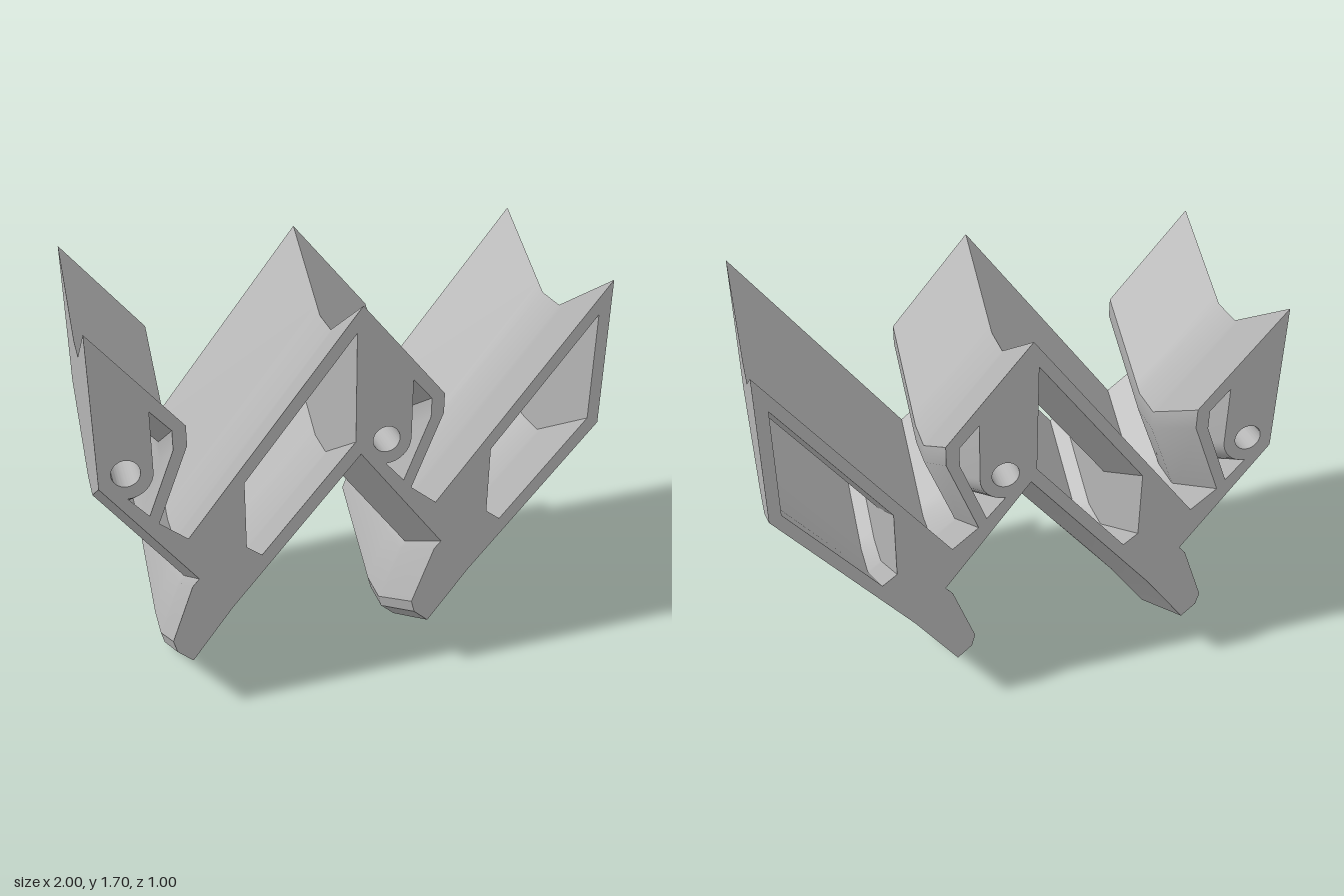
import * as THREE from 'three';
import { toCreasedNormals } from 'three/addons/utils/BufferGeometryUtils.js';

const UNITS = [0, 1];            // two repeats, one unit apart in x
const DROP = 0.255;              // how far the middle sags below the end faces
const SECTIONS = [-0.5, -0.13, -0.08, 0.08, 0.13, 0.5];
const BORE = { x: -0.898, y: 1.143, r: 0.054 };

// Edges of one unit, seen on the end face
const lower = [[-1, 1.093], [-0.652, 0.64], [-0.68, 0.608], [-0.77, 0.364], [-0.756, 0.31], [-0.695, 0.255], [-0.524, 0.482]];
const upper = [[0, 1.697], [-0.684, 0.829], [-0.79, 0.914], [-0.668, 1.225], [-0.668, 1.307]];

const shifted = (points, dx) => points.map(([x, y]) => new THREE.Vector2(x + dx, y));

function makeProfile() {
  const outline = [];
  for (const u of UNITS) outline.push(...shifted(lower, u));
  outline.push(new THREE.Vector2(1, 1.093));
  for (const u of [...UNITS].reverse()) outline.push(...shifted(upper, u));
  outline.push(new THREE.Vector2(-1, 1.697));
  const shape = new THREE.Shape(outline);

  for (const u of UNITS) {
    // long sloping window
    const right = u ? -0.048 : -0.022;
    shape.holes.push(new THREE.Path(shifted([
      [-0.46, 1.037], [right, 1.037 + (right + 0.46) * 1.27],
      [right, 0.706 + (right + 0.4) * 1.17], [-0.4, 0.706], [-0.46, 0.752]], u)));

    // clip slot, curving round the bore
    const slot = [[-0.797, 1.38], [-0.72, 1.294], [-0.72, 1.215], [-0.823, 0.952], [-0.898, 1.037]];
    for (let i = 1; i <= 8; i++) {
      const a = -Math.PI / 2 + (i / 8) * Math.PI / 2;
      slot.push([BORE.x + 0.101 * Math.cos(a), 1.138 + 0.101 * Math.sin(a)]);
    }
    shape.holes.push(new THREE.Path(shifted(slot, u)));

    // round bore
    shape.holes.push(new THREE.Path().absarc(BORE.x + u, BORE.y, BORE.r, 0, Math.PI * 2, true));
  }
  return shape;
}

// Extrude, then sag the middle sections; the bores stay straight
function makeBody() {
  const steps = SECTIONS.length - 1;
  const geometry = new THREE.ExtrudeGeometry(makeProfile(), { depth: 1, steps, bevelEnabled: false, curveSegments: 32 });
  const pos = geometry.attributes.position;
  for (let i = 0; i < pos.count; i++) {
    const x = pos.getX(i), y = pos.getY(i);
    const z = SECTIONS[Math.round(pos.getZ(i) * steps)];
    const inBore = UNITS.some(u => Math.hypot(x - BORE.x - u, y - BORE.y) < BORE.r + 0.01);
    const rise = Math.max(0, Math.abs(z) - 0.08) / 0.42;
    pos.setXYZ(i, x, inBore ? y : y - DROP * (1 - rise), z);
  }
  geometry.clearGroups();
  return toCreasedNormals(geometry, 0.6);
}

export function createModel() {
  const group = new THREE.Group();
  group.name = 'interlockingSlats';
  const grey = new THREE.MeshStandardMaterial({ color: 0xb4b4b4 });
  grey.name = 'light grey';
  const body = new THREE.Mesh(makeBody(), grey);
  body.name = 'slatBody';
  group.add(body);
  return group;
}
